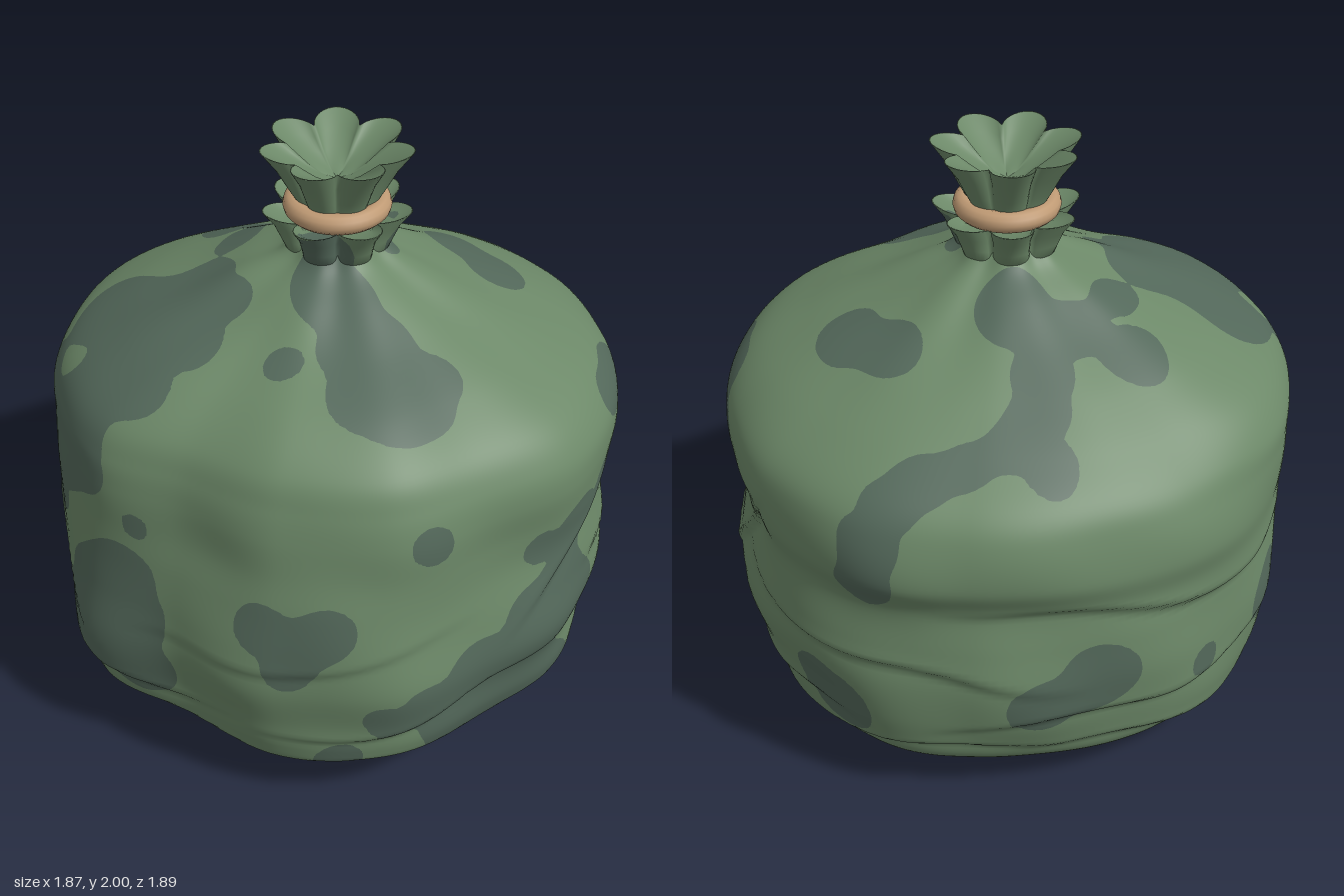
import * as THREE from 'three';

const TAU = Math.PI * 2;
const lightGreen = new THREE.MeshStandardMaterial({ color: 0x6c8868 });
lightGreen.name = 'light green cloth';
const darkGreen = new THREE.MeshStandardMaterial({ color: 0x53685a });
darkGreen.name = 'dark green patches';
const rope = new THREE.MeshStandardMaterial({ color: 0xbf9a74 });
rope.name = 'tan rope';

// Sack profile: height, then radius towards +x, +z, -x, -z
const PROFILE = [
  [0, 0, 0, 0, 0], [.015, .3, .3, .3, .3], [.03, .56, .54, .6, .56], [.09, .72, .67, .73, .7],
  [.18, .82, .84, .84, .82], [.28, .87, .9, .89, .86], [.4, .88, .92, .91, .9],
  [.55, .93, .945, .93, .92], [.7, .91, .93, .93, .91], [.85, .89, .9, .93, .9],
  [.97, .91, .87, .935, .94], [1.1, .93, .85, .935, .92], [1.2, .91, .82, .93, .86],
  [1.3, .82, .77, .86, .72], [1.4, .64, .64, .69, .56], [1.5, .43, .42, .47, .39],
  [1.58, .28, .28, .31, .27], [1.64, .18, .18, .18, .18], [1.7, .13, .13, .13, .13],
];
const SIDES = [1, 2, 3, 4].map((k) => new THREE.SplineCurve(PROFILE.map((p) => new THREE.Vector2(p[k], p[0]))));
// Unevenness of the outline around the sack
const OUTLINE = [1, 1.01, .97, 1.02, 1, .955, 1.04, 1.015, 1, 1.015, 1.01, .985, 1, 1.04, 1.03, 1.005];

// Cloth folds: centre angle, half span, height, slope, depth, softness
const FOLDS = [
  [1.7, 1.1, .22, .02, .035, .06], [2.3, .6, .36, -.02, .03, .07], [1.0, .7, .4, -.12, .03, .09],
  [0, .9, .2, .03, .035, .06], [.25, .5, .86, -.5, .025, .12], [-.5, .28, .8, -1, .03, .1],
  [-.1, .4, .63, .1, .025, .1], [-.45, .3, 1.04, .05, .02, .12], [-.5, .7, .36, .1, .03, .08],
  [-1.2, .8, .62, .1, .03, .12], [-1.3, .7, .25, -.04, .035, .07], [-2.3, .9, .8, .08, .03, .13],
  [-2.2, .8, .42, -.06, .035, .09], [-2.6, .9, .22, .03, .035, .06], [2.75, .5, .68, .45, .02, .13],
  [1.5, .7, .66, -.12, .015, .12],
];
// Broad bulges and dents: angle, height, depth
const BULGES = [[2.36, .42, .035], [-2.36, 1.26, -.04]];

const smooth = (a, b, v) => THREE.MathUtils.smoothstep(v, a, b);
const turn = (a, b) => Math.atan2(Math.sin(a - b), Math.cos(a - b));

function foldOffset(angle, y) {
  let sum = 0;
  for (const [centre, span, height, slope, depth, soft] of FOLDS) {
    const d = turn(angle, centre);
    if (Math.abs(d) > span) continue;
    const fade = Math.cos((d / span) * Math.PI / 2);
    const h = y - height - slope * d - .022 * Math.sin(d * 6 + centre * 3);
    const side = smooth(-.022, .022, h) * 1.05 - .5;
    sum += depth * fade * side * Math.exp(-Math.abs(h) / soft);
  }
  return sum;
}

function sackPoint(u, v) {
  const angle = v * TAU;
  const quarter = Math.floor(v * 4) % 4, f = Math.sin((v * 4 % 1) * Math.PI / 2) ** 2;
  const a = SIDES[quarter].getPoint(u), b = SIDES[(quarter + 1) % 4].getPoint(u);
  const y = Math.max(0, a.y);
  let r = a.x * (1 - f) + b.x * f;
  const k = v * 16, i = Math.floor(k) % 16, m = smooth(0, 1, k - Math.floor(k));
  const uneven = OUTLINE[i] * (1 - m) + OUTLINE[(i + 1) % 16] * m - 1;
  r *= 1 + uneven * smooth(.2, .6, r);
  // lumps and folds low down, gathers towards the neck
  const low = smooth(.02, .2, y) * (1 - smooth(.95, 1.25, y));
  r += low * (foldOffset(angle, y) + .005 * Math.sin(5 * angle + 8 * y) + .004 * Math.sin(11 * angle - 9 * y));
  for (const [centre, height, depth] of BULGES)
    r += depth * Math.exp(-((turn(angle, centre) / .3) ** 2) - ((y - height) / .15) ** 2);
  r *= 1 + .05 * smooth(1.38, 1.62, y) * Math.cos(7 * angle) + .012 * smooth(1.2, 1.55, y) * Math.sin(12 * angle + 1);
  return new THREE.Vector3(r * Math.cos(angle), y, r * Math.sin(angle));
}

// Closed loops of points, joined into a smooth surface
function loopSurface(rows, cols, pointAt) {
  const pos = [], index = [];
  for (let i = 0; i <= rows; i++)
    for (let j = 0; j < cols; j++) pos.push(...pointAt(i / rows, j / cols).toArray());
  for (let i = 0; i < rows; i++)
    for (let j = 0; j < cols; j++) {
      const a = i * cols + j, b = i * cols + (j + 1) % cols;
      index.push(a, a + cols, b, b, a + cols, b + cols);
    }
  const g = new THREE.BufferGeometry();
  g.setAttribute('position', new THREE.Float32BufferAttribute(pos, 3));
  g.setIndex(index);
  g.computeVertexNormals();
  return g;
}

// Patch blobs, two plane coordinates and a radius each, dropped onto the sack
const FRONT = [
  [-.7, 1.25, .16], [-.78, 1.12, .17], [-.68, 1.13, .1], [-.52, 1.37, .11], [-.38, 1.46, .1], [.02, 1.6, .12],
  [.12, 1.5, .1], [.3, 1.43, .14], [.18, 1.44, .1], [.4, 1.4, .08], [.48, 1.09, .065], [-.49, 1, .045],
  [-.55, .78, .13], [-.66, .65, .16], [-.78, .48, .14], [-.62, .45, .1], [-.5, .46, .14], [-.46, .66, .1],
  [-.05, .82, .09], [.15, .79, .1], [.05, .75, .1], [.06, .66, .08], [.07, .12, .09], [.2, .23, .08], [.34, .43, .08],
  [.48, .47, .1], [.63, .55, .12], [.76, .66, .12], [.6, .27, .16], [.75, .38, .14], [.56, .1, .11], [-.9, .92, .09],
];
const LEFT = [
  [0, 1.2, .09], [-.13, 1.19, .11], [-.25, 1.07, .1], [-.38, .95, .1], [.15, .97, .06],
  [.3, .91, .11], [.45, .91, .06], [.38, .72, .12], [.32, .58, .12], [.5, .4, .17], [.7, .4, .16],
  [.62, .24, .13], [.34, .26, .12], [-.18, .52, .1], [-.14, .36, .13], [.02, .33, .08], [-.1, .2, .12],
  [.1, .15, .11], [.3, .12, .12], [-.77, .37, .1],
];
const RIGHT = [[.22, 1.07, .18], [.33, .66, .12], [-.24, .53, .13], [-.26, .2, .06], [-.6, .47, .06], [.5, .9, .06]];
const BACK = [[-.38, .58, .13], [-.24, .5, .12], [.33, 1.1, .1], [.33, .95, .1], [.45, .36, .13], [.54, .46, .08]];
const TOP = [
  [-.72, .13, .17], [-.55, .18, .16], [-.4, .12, .12], [-.6, .4, .14], [-.54, .54, .09], [-.3, .24, .08],
  [.22, .36, .13], [.3, .5, .14], [.4, .38, .09], [.08, .25, .1], [-.05, -.27, .12], [-.25, -.28, .11],
  [-.45, -.33, .11], [-.35, -.11, .09], [-.16, -.45, .1], [-.15, -.58, .1], [-.24, -.72, .08], [-.1, -.68, .1],
  [.03, -.74, .09], [.14, -.79, .1], [.25, -.84, .09], [.32, -.38, .11], [.46, -.3, .12], [-.08, .48, .06],
];
const BASE = [[.3, -.23, .1], [.18, -.3, .07], [0, -.5, .1], [-.03, .37, .15], [.12, .4, .09], [.24, .45, .14], [-.44, -.12, .14], [-.48, -.3, .08], [-.48, -.42, .09]];
const VIEWS = [
  [FRONT, 'x', 'y', (p) => p.z > 0], [BACK, 'x', 'y', (p) => p.z < 0],
  [LEFT, 'z', 'y', (p) => p.x > 0], [RIGHT, 'z', 'y', (p) => p.x < 0],
  [TOP, 'x', 'z', (p) => p.y > 1], [BASE, 'x', 'z', (p) => p.y < .05],
];

function placeBlobs(geometry) {
  const attr = geometry.attributes.position;
  const points = Array.from({ length: attr.count }, (_, i) => new THREE.Vector3().fromBufferAttribute(attr, i));
  const blobs = [];
  for (const [list, s, t, visible] of VIEWS) {
    const pool = points.filter(visible);
    for (const [a, b, r] of list) {
      let best = pool[0], least = Infinity;
      for (const p of pool) {
        const d = (p[s] - a) ** 2 + (p[t] - b) ** 2;
        if (d < least) { least = d; best = p; }
      }
      blobs.push({ c: best, r });
    }
  }
  // spots on the gathered collar
  for (const [x, y, z, r] of [[-.03, 1.71, .19, .1], [.19, 1.71, -.03, .07]])
    blobs.push({ c: new THREE.Vector3(x, y, z), r });
  return blobs;
}

function patchField(p, blobs) {
  const q = new THREE.Vector3(p.x + .015 * Math.sin(13 * p.y + 7 * p.z), p.y + .015 * Math.sin(12 * p.x + 9 * p.z), p.z + .015 * Math.sin(14 * p.y + 6 * p.x));
  let sum = -Math.exp(-2);
  for (const { c, r } of blobs) sum += Math.exp(-2 * q.distanceToSquared(c) / (r * r));
  return sum;
}

// Cuts every triangle along the patch borders and gives each side its material
function camouflage(geometry, blobs, name) {
  const P = geometry.attributes.position, N = geometry.attributes.normal, index = geometry.index.array;
  const verts = Array.from({ length: P.count }, (_, i) => {
    const p = new THREE.Vector3().fromBufferAttribute(P, i);
    return { p, n: new THREE.Vector3().fromBufferAttribute(N, i), f: patchField(p, blobs) };
  });
  const pos = [], nor = [], out = new THREE.BufferGeometry();
  [-1, 1].forEach((sign, material) => {
    const start = pos.length / 3;
    for (let i = 0; i < index.length; i += 3) {
      const poly = [];
      for (let k = 0; k < 3; k++) {
        const a = verts[index[i + k]], b = verts[index[i + (k + 1) % 3]];
        if (a.f * sign >= 0) poly.push(a);
        if (a.f * b.f < 0) {
          const t = a.f / (a.f - b.f);
          poly.push({ p: a.p.clone().lerp(b.p, t), n: a.n.clone().lerp(b.n, t).normalize() });
        }
      }
      for (let k = 2; k < poly.length; k++)
        for (const v of [poly[0], poly[k - 1], poly[k]]) { pos.push(...v.p.toArray()); nor.push(...v.n.toArray()); }
    }
    out.addGroup(start, pos.length / 3 - start, material);
  });
  out.setAttribute('position', new THREE.Float32BufferAttribute(pos, 3));
  out.setAttribute('normal', new THREE.Float32BufferAttribute(nor, 3));
  const mesh = new THREE.Mesh(out, [lightGreen, darkGreen]);
  mesh.name = name;
  return mesh;
}

// Seven-lobed frill swept through [radius, height, lobe depth] steps
function frill(steps) {
  return loopSurface(steps.length - 1, 112, (u, v) => {
    const [r, y, lobe] = steps[Math.round(u * (steps.length - 1))];
    const wave = Math.abs(Math.cos(v * TAU * 3.5)) ** .8 - 1;
    const radius = r * (1 + lobe * wave);
    return new THREE.Vector3(radius * Math.cos(v * TAU), y + lobe * .05 * wave, radius * Math.sin(v * TAU));
  });
}

export function createModel() {
  const model = new THREE.Group();
  model.name = 'tiedSack';
  const sack = loopSurface(144, 200, sackPoint);
  const blobs = placeBlobs(sack);
  model.add(camouflage(sack, blobs, 'sackBody'));

  // Frill below the tie, outside then back inside
  model.add(camouflage(frill([
    [.14, 1.645, .1], [.168, 1.66, .2], [.185, 1.7, .28], [.205, 1.745, .34], [.24, 1.79, .36],
    [.234, 1.791, .36], [.18, 1.755, .25], [.1, 1.75, 0],
  ]), blobs, 'lowerFrill'));
  // Frill above the tie, with a sunken star-shaped mouth
  model.add(camouflage(frill([
    [.11, 1.74, 0], [.125, 1.81, .1], [.16, 1.87, .22], [.195, 1.935, .29], [.243, 2, .32],
    [.238, 2, .32], [.18, 1.965, .31], [.12, 1.93, .28], [.06, 1.9, .2], [0, 1.88, 0],
  ]), blobs, 'upperFrill'));

  const tie = new THREE.Mesh(new THREE.TorusGeometry(.138, .034, 12, 48), rope);
  tie.name = 'ropeTie';
  tie.rotation.x = Math.PI / 2;
  tie.position.y = 1.797;
  model.add(tie);
  return model;
}
